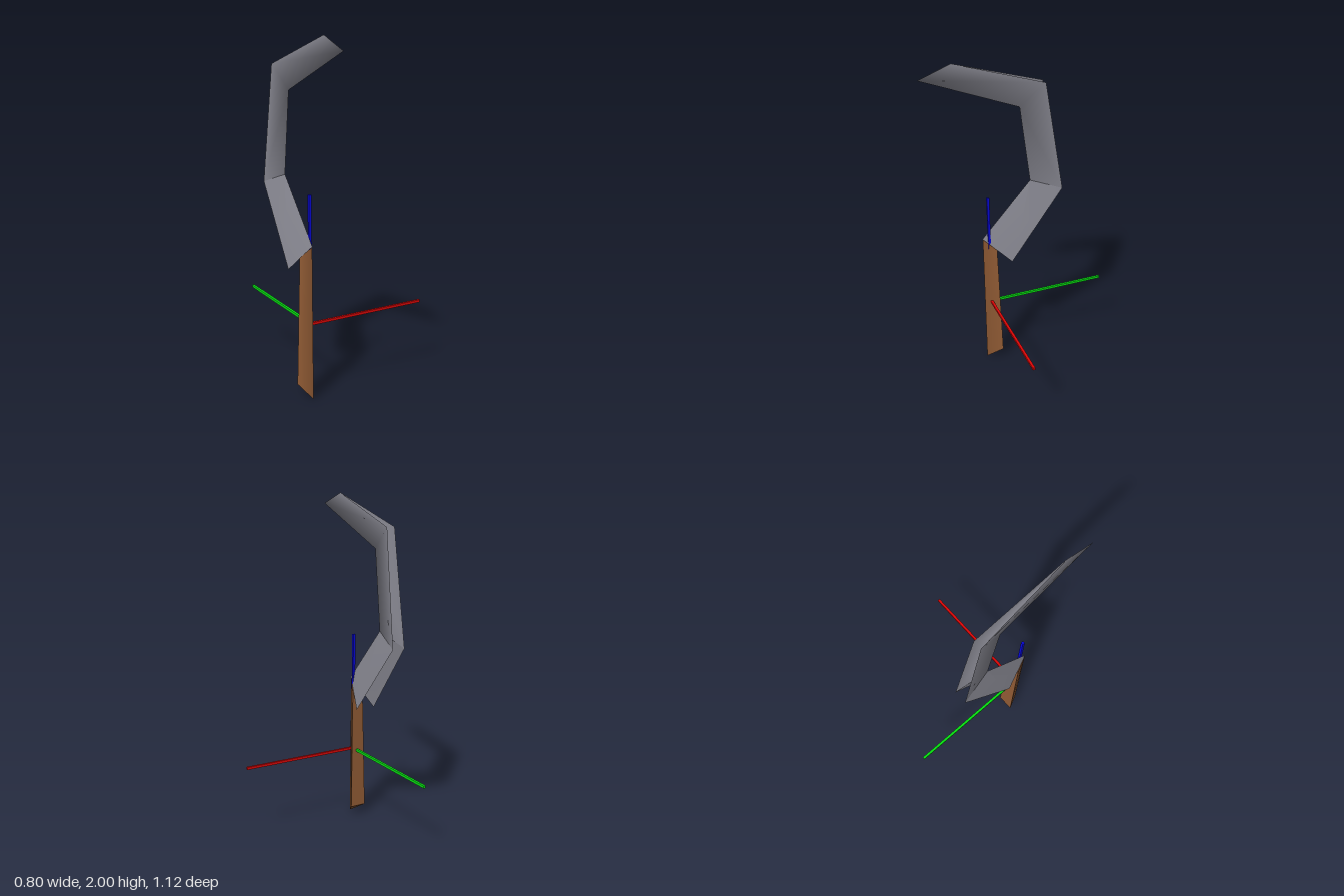
import * as THREE from 'three';

const CX = -0.34; // mid-plane of the tool

function material(name, color, side = THREE.FrontSide) {
  const m = new THREE.MeshStandardMaterial({ color, side });
  m.name = name;
  return m;
}

function meshGeometry(positions, index) {
  const g = new THREE.BufferGeometry();
  g.setAttribute('position', new THREE.Float32BufferAttribute(positions, 3));
  if (index) g.setIndex(index);
  g.computeVertexNormals();
  return g;
}

// Ribbon folded along a central ridge and mirrored to both sides.
// Each station is { ridge: [z, y], edge: [halfWidth, z, y] }.
function foldedSheet(stations) {
  const pos = [], index = [];
  for (const { ridge: [rz, ry], edge: [w, ez, ey] } of stations) {
    pos.push(CX - w, ey, ez, CX, ry, rz, CX + w, ey, ez);
  }
  for (let i = 0; i < stations.length - 1; i++) {
    const a = i * 3, b = a + 3;
    index.push(a, a + 1, b + 1, a, b + 1, b);             // -x side
    index.push(a + 1, a + 2, b + 1, a + 2, b + 2, b + 1); // +x side
  }
  return meshGeometry(pos, index);
}

// Back wall and end caps that close a two-station sheet
function closingFaces([lo, hi]) {
  const corners = ({ ridge: [rz, ry], edge: [w, ez, ey] }) =>
    [[CX - w, ey, ez], [CX, ry, rz], [CX + w, ey, ez]];
  const [a, b, c] = corners(lo), [d, e, f] = corners(hi);
  return meshGeometry([a, d, c, c, d, f, a, c, b, d, e, f].flat());
}

// One side wall between two stations, raised at a middle point.
// The upper ridge corner is doubled so a crease runs from it to that point.
function creasedCheek(lo, hi, [mw, mz, my], side) {
  const ridge = ([z, y]) => [CX, y, z];
  const edge = ([w, z, y]) => [CX + side * w, y, z];
  const pos = [ridge(lo.ridge), edge(lo.edge), edge(hi.edge),
    ridge(hi.ridge), ridge(hi.ridge), edge([mw, mz, my])].flat();
  const index = [0, 5, 3, 0, 1, 5, 1, 2, 5, 2, 4, 5];
  if (side < 0) index.reverse();
  return meshGeometry(pos, index);
}

export function createModel() {
  const model = new THREE.Group();
  const steel = material('steel', 0x8a8a94, THREE.DoubleSide);
  const wood = material('wood', 0x925c35, THREE.DoubleSide);

  const add = (name, geometry, mat, parent = model) => {
    const mesh = new THREE.Mesh(geometry, mat);
    mesh.name = name;
    parent.add(mesh);
    return mesh;
  };

  // Three-sided handle with slanted ends
  const handle = new THREE.Group();
  handle.name = 'handle';
  model.add(handle);
  const handleEnds = [
    { ridge: [0.23, 0.0], edge: [0.05, 0.135, 0.065] },
    { ridge: [0.23, 0.885], edge: [0.035, 0.152, 0.81] },
  ];
  add('handleFront', foldedSheet(handleEnds), wood, handle);
  add('handleBackAndEnds', closingFaces(handleEnds), wood, handle);

  // Bent blade: folded sheet, open along its outer curve
  const blade = new THREE.Group();
  blade.name = 'blade';
  model.add(blade);
  const root = { ridge: [0.232, 0.888], edge: [0.061, 0.065, 0.725] };
  const elbow = { ridge: [-0.078, 1.23], edge: [0.039, -0.272, 1.16] };
  const shoulder = { ridge: [-0.018, 1.70], edge: [0.025, -0.17, 1.832] };
  const tip = { ridge: [0.56, 1.93], edge: [0.001, 0.37, 2.0] };
  const cheek = [0.041, 0.0, 0.935];
  add('bladeRootLeft', creasedCheek(root, elbow, cheek, 1), steel, blade);
  add('bladeRootRight', creasedCheek(root, elbow, cheek, -1), steel, blade);
  add('bladeHook', foldedSheet([elbow, shoulder, tip]), steel, blade);

  // Three thin square axis rods from one origin
  const origin = new THREE.Vector3(-0.333, 0.435, 0.192);
  const rods = [
    ['redRod', 0xe00505, [1, 0, 0], 0.733],
    ['greenRod', 0x05e010, [0, 0, -1], 0.752],
    ['blueRod', 0x0505e0, [0, 1, 0], 0.73],
  ];
  for (const [name, color, dir, length] of rods) {
    const d = new THREE.Vector3(...dir);
    const rod = add(name, new THREE.BoxGeometry(0.015, length, 0.015), material(name, color));
    rod.quaternion.setFromUnitVectors(new THREE.Vector3(0, 1, 0), d);
    rod.position.copy(origin).addScaledVector(d, length / 2);
  }

  return model;
}
